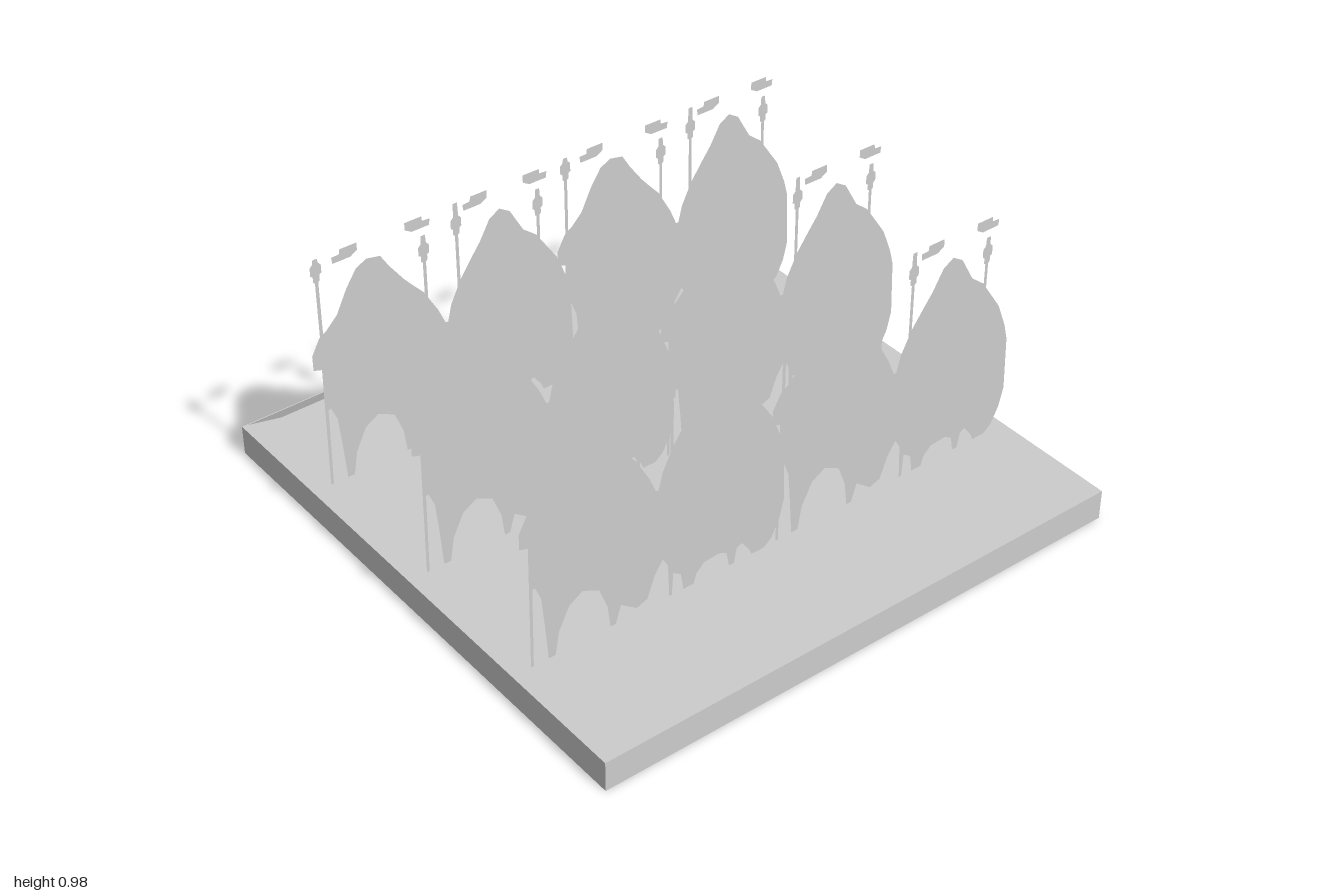
import * as THREE from 'three';

const stone = new THREE.MeshStandardMaterial({ color: 0xcccccc, side: THREE.DoubleSide });
stone.name = 'plain grey';

const PERIOD = 0.945;

// Upper outline of a card with two humps, left to right
const crest = [
  [-0.935, 0.115], [-0.93, 0.57], [-0.96, 0.58], [-0.96, 0.635], [-0.93, 0.69], [-0.9, 0.71],
  [-0.86, 0.75], [-0.82, 0.83], [-0.78, 0.89], [-0.74, 0.91], [-0.69, 0.9], [-0.66, 0.85],
  [-0.61, 0.78], [-0.58, 0.745], [-0.54, 0.7], [-0.49, 0.61], [-0.465, 0.55], [-0.455, 0.55],
  [-0.44, 0.61], [-0.4, 0.69], [-0.35, 0.76], [-0.32, 0.8], [-0.28, 0.87], [-0.24, 0.895],
  [-0.2, 0.87], [-0.15, 0.78], [-0.1, 0.74], [-0.06, 0.68], [-0.02, 0.62], [0.015, 0.53],
  [0.03, 0.47], [0.037, 0.27], [0.02, 0.2], [-0.01, 0.14], [-0.04, 0.115],
];

// Ragged foot of the card, right to left
const foot = [
  [-0.09, 0.115], [-0.1, 0.14], [-0.13, 0.18], [-0.15, 0.17], [-0.16, 0.115],
  [-0.18, 0.115], [-0.19, 0.17], [-0.22, 0.185], [-0.28, 0.18], [-0.31, 0.15], [-0.32, 0.115],
  [-0.36, 0.115], [-0.37, 0.18], [-0.4, 0.2], [-0.405, 0.115], [-0.415, 0.115],
  [-0.42, 0.24], [-0.44, 0.275], [-0.47, 0.23], [-0.5, 0.15], [-0.54, 0.135], [-0.6, 0.18], [-0.62, 0.115],
  [-0.64, 0.115], [-0.65, 0.2], [-0.68, 0.28], [-0.74, 0.31], [-0.79, 0.28], [-0.83, 0.2], [-0.845, 0.115],
  [-0.87, 0.115], [-0.88, 0.25], [-0.89, 0.36], [-0.91, 0.41], [-0.92, 0.41], [-0.925, 0.115],
];

// Poles: x, top, height of the spear head
const poles = [[-0.92, 0.98, 0.94], [-0.53, 0.91, 0.855], [-0.405, 0.98, 0.905], [-0.09, 0.91, 0.855]];
// Pennants: centre x, and direction of the drooping end
const flags = [[-0.815, -1], [-0.55, 1], [-0.33, -1], [-0.1, 1]];

const flat = (points) => new THREE.ShapeGeometry(new THREE.Shape(points.map(([x, y]) => new THREE.Vector2(x, y))));

function addMesh(parent, name, geometry) {
  const mesh = new THREE.Mesh(geometry, stone);
  mesh.name = name;
  parent.add(mesh);
  return mesh;
}

function poleShape([x, top, head]) {
  const half = [[0.006, 0.6], [0.006, head - 0.045], [0.012, head - 0.04], [0.012, head - 0.02],
    [0.02, head - 0.015], [0.02, head + 0.015], [0.01, head + 0.025], [0.008, top]];
  return flat([...half.map(([w, y]) => [x + w, y]), ...half.reverse().map(([w, y]) => [x - w, y])]);
}

function flagShape([x, s]) {
  return flat([[x + s * 0.045, 0.94], [x + s * 0.048, 0.963], [x + s * 0.02, 0.965], [x + s * 0.018, 0.982],
    [x - s * 0.045, 0.982], [x - s * 0.045, 0.955], [x - s * 0.02, 0.94]]);
}

export function createModel() {
  const model = new THREE.Group();
  model.name = 'cardField';

  // Square ground slab
  addMesh(model, 'base', new THREE.BoxGeometry(2, 0.11, 2)).position.y = 0.055;

  // Tilted panel along the rear edge, rising toward the front
  const run = 0.24, rise = 0.175;
  const panel = addMesh(model, 'rearPanel', new THREE.PlaneGeometry(1.965, Math.hypot(run, rise)));
  panel.rotation.x = Math.PI + Math.atan2(run, rise);
  panel.rotation.y = 0;
  panel.position.set(0, 0.115 + rise / 2, -0.99 + run / 2);

  // Three rows of upright cut-out cards, two cards in each
  const cardGeometry = flat([...crest, ...foot]);
  const poleGeometries = poles.map(poleShape);
  const flagGeometries = flags.map(flagShape);
  for (const z of [0.55, 0, -0.55]) {
    const row = new THREE.Group();
    row.name = 'cardRow';
    row.position.z = z;
    for (let i = 0; i < 2; i++) {
      const card = new THREE.Group();
      card.name = 'card';
      card.position.set(i * PERIOD, 0, -i * 0.003);
      addMesh(card, 'humps', cardGeometry);
      for (const g of poleGeometries) addMesh(card, 'pole', g).position.z = -0.001;
      for (const g of flagGeometries) addMesh(card, 'pennant', g);
      row.add(card);
    }
    model.add(row);
  }
  return model;
}
